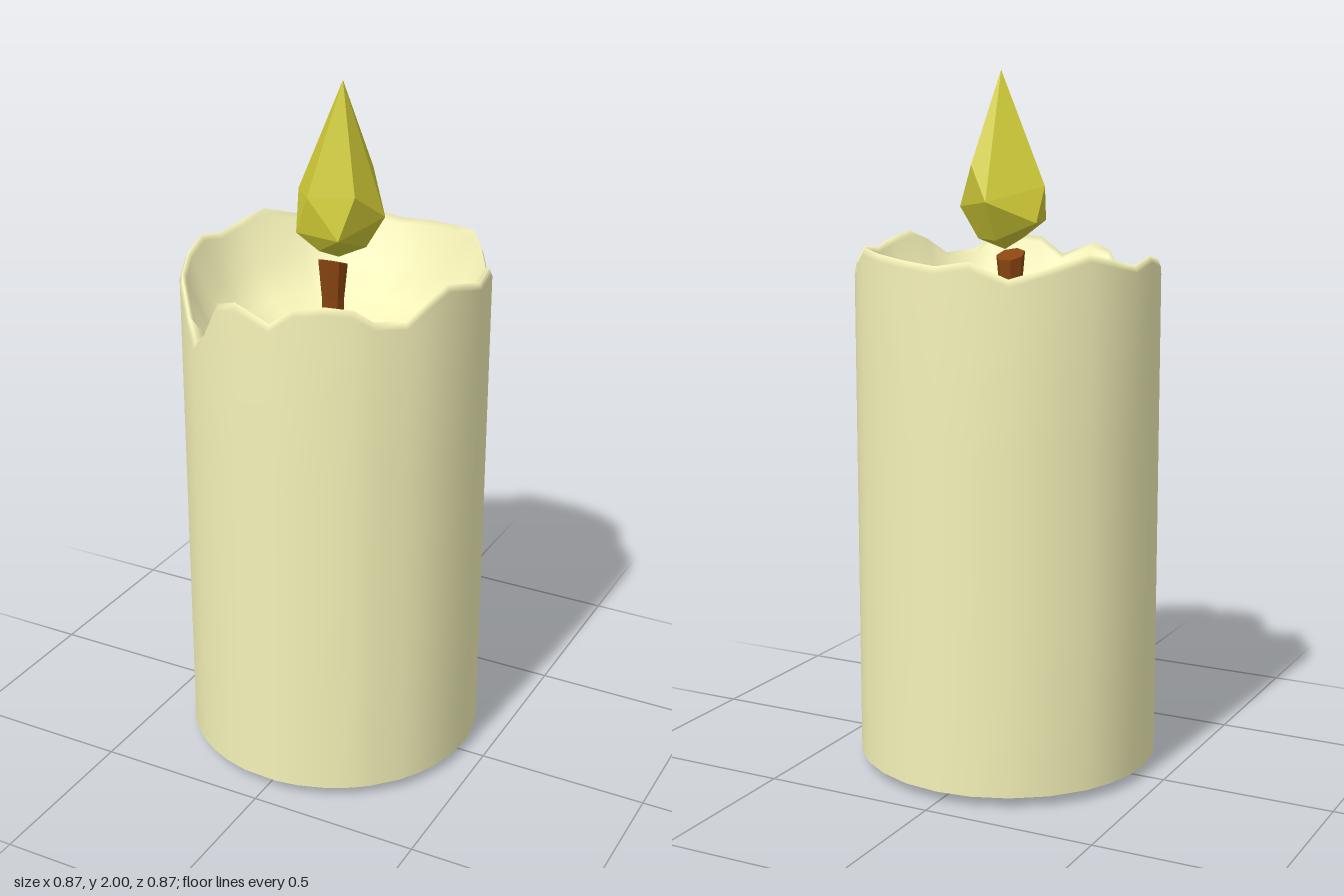
import * as THREE from 'three';
import { ConvexGeometry } from 'three/addons/geometries/ConvexGeometry.js';

const RADIUS = 0.435;

// Melted rim: [degrees from the front towards +x, height]
const RIM = [
  [4, 1.45], [13, 1.5], [24, 1.51], [34, 1.5], [41, 1.465], [53, 1.455], [62, 1.5], [71, 1.53],
  [82, 1.51], [92, 1.49], [103, 1.5], [113, 1.475], [120, 1.45], [127, 1.445], [133, 1.49],
  [140, 1.52], [152, 1.51], [166, 1.5], [180, 1.49], [193, 1.505], [207, 1.46], [222, 1.49],
  [237, 1.52], [248, 1.5], [260, 1.48], [272, 1.5], [285, 1.48], [297, 1.45], [309, 1.46],
  [319, 1.38], [325, 1.32], [332, 1.36], [341, 1.47], [350, 1.49],
];

// Closed sweep round the candle; profile(rimHeight) gives [radius, y] pairs
function sweep(profile) {
  const positions = [], index = [], columns = RIM.length;
  let rows = 0;
  for (const [degrees, rim] of RIM) {
    const a = THREE.MathUtils.degToRad(degrees);
    const points = profile(rim);
    rows = points.length;
    for (const [r, y] of points) positions.push(r * Math.sin(a), y, r * Math.cos(a));
  }
  for (let c = 0; c < columns; c++) {
    const here = c * rows, next = ((c + 1) % columns) * rows;
    for (let r = 0; r < rows - 1; r++) {
      index.push(here + r, next + r, next + r + 1, here + r, next + r + 1, here + r + 1);
    }
  }
  const geometry = new THREE.BufferGeometry();
  geometry.setAttribute('position', new THREE.Float32BufferAttribute(positions, 3));
  geometry.setIndex(index);
  geometry.computeVertexNormals();
  return geometry;
}

// Outer wall, rounded lip and hollow bowl in one smooth skin
function waxProfile(rim) {
  const inner = Math.max(rim - 0.015, 1.36);
  const points = [[RADIUS, 0.03], [RADIUS, 0.5], [RADIUS, 1.0], [RADIUS, rim - 0.02],
    [RADIUS - 0.008, rim], [RADIUS - 0.02, inner]];
  for (const [t, drop] of [[0.88, 0.45], [0.7, 0.7], [0.4, 0.92], [0.003, 1]]) {
    points.push([t * (RADIUS - 0.02), THREE.MathUtils.lerp(inner, 1.2, drop)]);
  }
  return points;
}

function addMesh(group, name, geometry, material) {
  const mesh = new THREE.Mesh(geometry, material);
  mesh.name = name;
  group.add(mesh);
  return mesh;
}

export function createModel() {
  const group = new THREE.Group();
  group.name = 'candle';
  const wax = new THREE.MeshStandardMaterial({ color: 0xf5f2b8 });
  const brown = new THREE.MeshStandardMaterial({ color: 0x8a4510, flatShading: true });
  const yellow = new THREE.MeshStandardMaterial({ color: 0xcfca36, flatShading: true });

  addMesh(group, 'waxBody', sweep(waxProfile), wax);

  // Shallow cone underneath
  addMesh(group, 'waxBase', sweep(() => [[0.001, 0], [RADIUS, 0.03]]), wax);

  // Wick, pinched in the middle with a slanted tip
  const wick = new THREE.CylinderGeometry(0.042, 0.036, 0.31, 7, 3);
  const p = wick.attributes.position;
  for (let i = 0; i < p.count; i++) {
    const y = p.getY(i);
    if (Math.abs(y) < 0.1) {
      p.setX(i, p.getX(i) * 0.8);
      p.setZ(i, p.getZ(i) * 0.8);
    } else if (y > 0) {
      p.setY(i, y + p.getZ(i) * 0.35);
    }
  }
  addMesh(group, 'wick', wick, brown).position.set(-0.005, 1.33, 0.005);

  // Faceted teardrop flame
  const flamePoints = [
    [0.03, 2, 0.015],
    [-0.115, 1.68, 0], [0, 1.64, -0.14], [0.065, 1.74, -0.1], [0.095, 1.7, 0.07], [-0.035, 1.69, 0.1],
    [-0.11, 1.58, -0.045], [0.13, 1.62, -0.045], [0.06, 1.58, 0.1], [-0.08, 1.58, 0.08],
    [0.08, 1.53, -0.03], [0, 1.53, -0.08], [-0.02, 1.53, 0.06], [0.01, 1.5, 0],
  ].map((v) => new THREE.Vector3(...v));
  addMesh(group, 'flame', new ConvexGeometry(flamePoints), yellow);

  return group;
}
